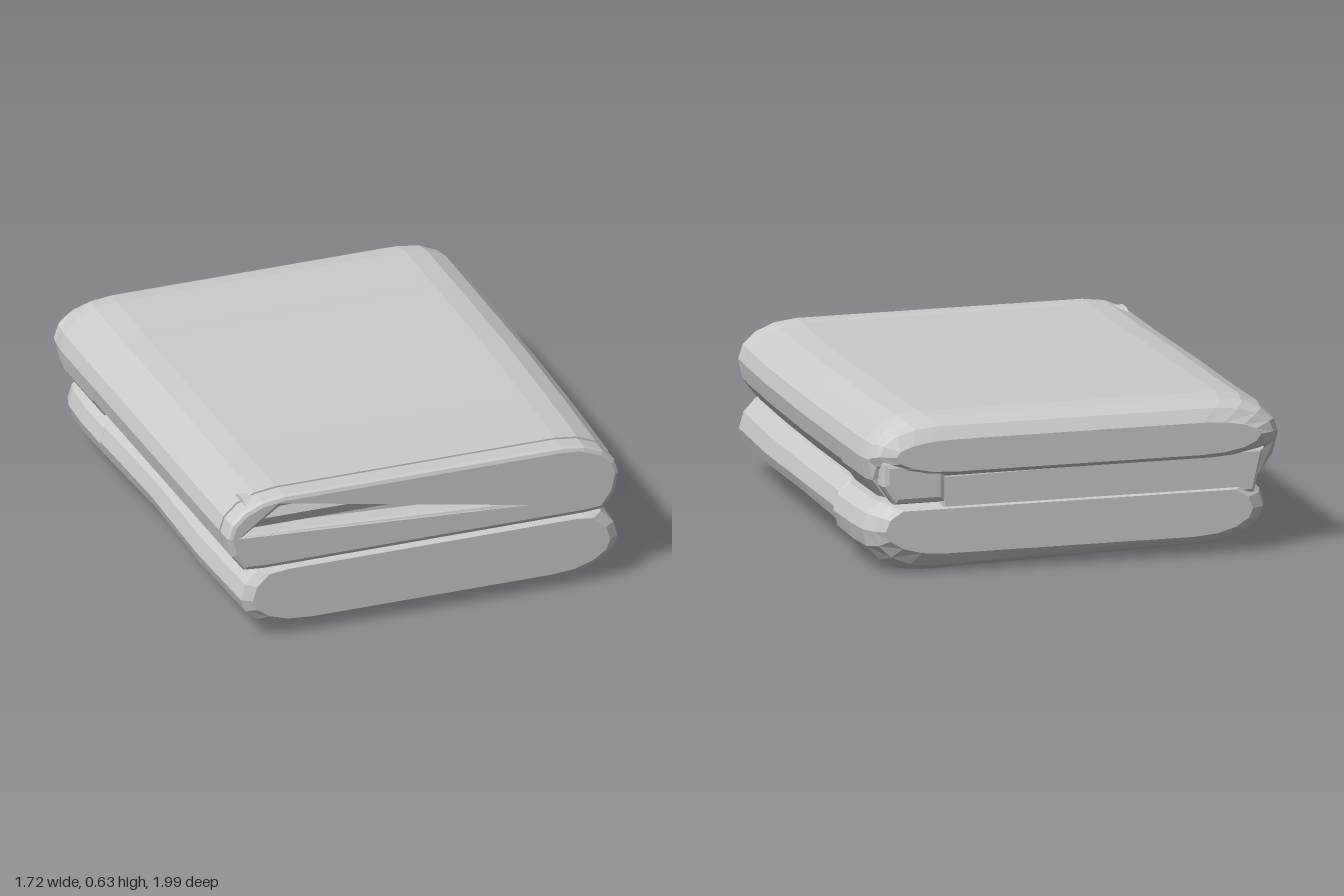
import * as THREE from 'three';

const material = new THREE.MeshStandardMaterial({ color: 0xcccccc, flatShading: true, side: THREE.DoubleSide });

function addMesh(parent, geometry, name) {
  const mesh = new THREE.Mesh(geometry, material);
  mesh.name = name;
  parent.add(mesh);
  return mesh;
}

// Flat pillow outline with elliptical left and right ends, counter-clockwise from the front
function outline({ xl, xr, top, mid, bot, rx = 0.24, tilt = 0, min = -1, max = 1 }) {
  const pts = [];
  const steps = 8;
  for (const side of [1, -1]) {
    for (let i = 0; i <= steps; i++) {
      const a = (i / steps - 0.5) * Math.PI;
      const s = Math.sin(a) * side;
      const x = side > 0 ? xr - rx + rx * Math.cos(a) : xl + rx - rx * Math.cos(a);
      let y = mid + (s > 0 ? (top - mid) * s : (mid - bot) * s);
      if (s < 0) y += tilt * x * -s;
      pts.push(new THREE.Vector2(x, Math.min(max, Math.max(min, y))));
    }
  }
  return pts;
}

// Skin over outlines ordered from front (+z) to back, capped at both ends
function loft(sections) {
  const rings = sections.map(outline);
  const n = rings[0].length;
  const pos = [];
  const index = [];
  rings.forEach((ring, r) => ring.forEach(p => pos.push(p.x, p.y, sections[r].z)));
  for (let r = 0; r < rings.length - 1; r++) {
    for (let i = 0; i < n; i++) {
      const a = r * n + i, b = r * n + (i + 1) % n;
      index.push(a, a + n, b, b, a + n, b + n);
    }
  }
  for (const r of [0, rings.length - 1]) {
    const s = sections[r];
    const c = pos.length / 3;
    pos.push((s.xl + s.xr) / 2, s.mid, s.z);
    for (let i = 0; i < n; i++) {
      const a = r * n + i, b = r * n + (i + 1) % n;
      if (r === 0) index.push(c, a, b);
      else index.push(c, b, a);
    }
  }
  const g = new THREE.BufferGeometry();
  g.setAttribute('position', new THREE.Float32BufferAttribute(pos, 3));
  g.setIndex(index);
  const flat = g.toNonIndexed();
  flat.computeVertexNormals();
  return flat;
}

function slab(points, z0, z1, bevel, hole) {
  const shape = new THREE.Shape(points);
  if (hole) shape.holes.push(new THREE.Path(hole));
  const g = new THREE.ExtrudeGeometry(shape, {
    depth: z1 - z0 - 2 * bevel, bevelEnabled: true, bevelThickness: bevel,
    bevelSize: bevel, bevelOffset: -bevel, bevelSegments: 2
  });
  return g.translate(0, 0, z0 + bevel);
}

const V = (x, y) => new THREE.Vector2(x, y);

export function createModel() {
  const group = new THREE.Group();

  // Lower layer: sagging underside, deeper and wider toward the back
  addMesh(group, loft([
    { z: 0.99, xl: -0.76, xr: 0.75, top: 0.33, mid: 0.18, bot: 0.07, max: 0.295 },
    { z: 0.965, xl: -0.80, xr: 0.79, top: 0.35, mid: 0.18, bot: 0.045, max: 0.305 },
    { z: 0.5, xl: -0.81, xr: 0.82, top: 0.35, mid: 0.18, bot: 0.05, max: 0.305 },
    { z: 0.0, xl: -0.80, xr: 0.84, top: 0.35, mid: 0.19, bot: 0.06, max: 0.305 },
    { z: -0.52, xl: -0.81, xr: 0.85, top: 0.35, mid: 0.19, bot: 0.035, max: 0.305 },
    { z: -0.54, xl: -0.81, xr: 0.86, top: 0.34, mid: 0.18, bot: 0.03, tilt: -0.02, max: 0.285 },
    { z: -0.75, xl: -0.81, xr: 0.86, top: 0.34, mid: 0.18, bot: 0.017, tilt: -0.025, max: 0.285 },
    { z: -0.90, xl: -0.80, xr: 0.85, top: 0.34, mid: 0.18, bot: 0.017, tilt: -0.025, max: 0.285 },
    { z: -0.96, xl: -0.78, xr: 0.82, top: 0.33, mid: 0.18, bot: 0.04, tilt: -0.02, max: 0.28 },
    { z: -0.99, xl: -0.73, xr: 0.78, top: 0.30, mid: 0.18, bot: 0.08, max: 0.26 }
  ]), 'lowerLayer');

  // Upper layer
  const front = { z: 0.88, xl: -0.86, xr: 0.80, top: 0.61, mid: 0.46, bot: 0.25, min: 0.305 };
  addMesh(group, loft([
    front,
    { z: 0.5, xl: -0.86, xr: 0.82, top: 0.61, mid: 0.46, bot: 0.25, min: 0.305 },
    { z: 0.0, xl: -0.86, xr: 0.835, top: 0.62, mid: 0.46, bot: 0.25, min: 0.305 },
    { z: -0.52, xl: -0.86, xr: 0.84, top: 0.622, mid: 0.46, bot: 0.25, min: 0.305 },
    { z: -0.54, xl: -0.86, xr: 0.84, top: 0.622, mid: 0.46, bot: 0.23, min: 0.285 },
    { z: -0.84, xl: -0.86, xr: 0.84, top: 0.628, mid: 0.46, bot: 0.23, min: 0.285 },
    { z: -0.91, xl: -0.85, xr: 0.83, top: 0.62, mid: 0.46, bot: 0.24, min: 0.29 },
    { z: -0.93, xl: -0.85, xr: 0.82, top: 0.61, mid: 0.47, bot: 0.37 },
    { z: -0.97, xl: -0.82, xr: 0.80, top: 0.59, mid: 0.48, bot: 0.385 },
    { z: -1.0, xl: -0.76, xr: 0.74, top: 0.54, mid: 0.48, bot: 0.41 }
  ]), 'upperLayer');

  // Front edge of the upper layer, open where its folded sheet shows
  addMesh(group, slab(outline({ ...front, xr: 0.795 }), 0.875, 0.98, 0.02,
    [V(-0.79, 0.465), V(-0.64, 0.565), V(0.61, 0.565), V(0.61, 0.395)]), 'upperFrontEdge');

  // Rolled sheet inside the front opening
  const roll = addMesh(group, new THREE.CylinderGeometry(1, 1, 1.4, 10), 'foldedRoll');
  roll.rotation.z = Math.PI / 2;
  roll.scale.set(0.068, 1, 0.09);
  roll.position.set(-0.07, 0.525, 0.88);

  // Turned-up sheet and corner tuck at the back
  addMesh(group, slab([V(-0.74, 0.24), V(0.55, 0.24), V(0.55, 0.40), V(-0.78, 0.42)],
    -0.98, -0.88, 0.015), 'backSheet');
  addMesh(group, slab([V(0.53, 0.285), V(0.74, 0.285), V(0.79, 0.36), V(0.79, 0.46), V(0.53, 0.46)],
    -0.99, -0.88, 0.025), 'backCornerTuck');

  return group;
}
